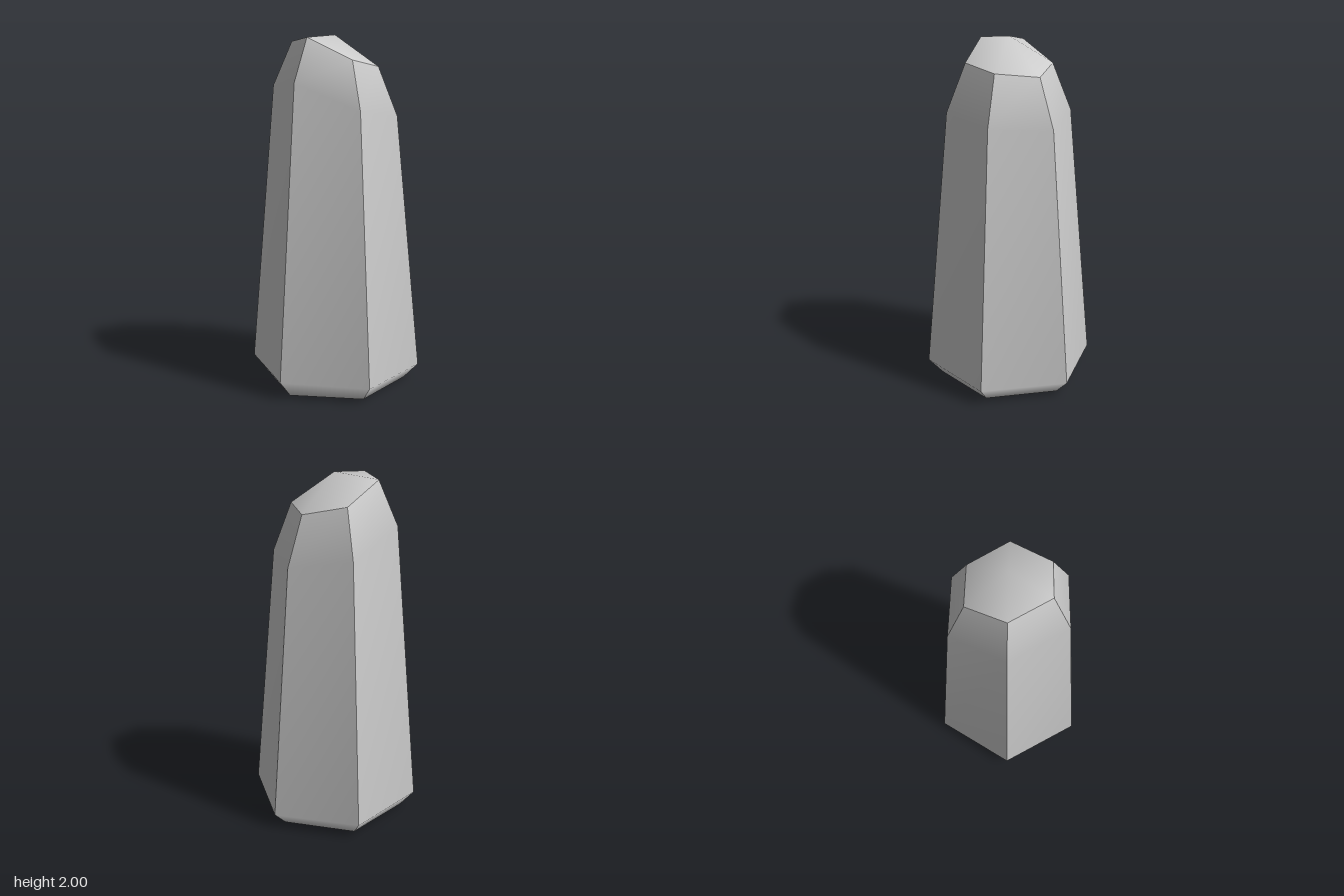
import * as THREE from 'three';

const SIDES = 6;

// Corner heights run round from +x through +z (right, front, left, back)
const RINGS = [
  { r: 0.415, y: [0, 0, 0, 0, 0, 0] },
  { r: 0.497, y: [0.085, 0.086, 0.09, 0.1, 0.097, 0.09] },
  { r: 0.355, y: [1.53, 1.55, 1.59, 1.74, 1.72, 1.585] },
  { r: 0.246, y: [1.8, 1.825, 1.86, 1.98, 1.965, 1.85] },
];

function corner(ring, i) {
  const k = i % SIDES;
  const a = (k / SIDES) * Math.PI * 2;
  return [ring.r * Math.cos(a), ring.y[k], ring.r * Math.sin(a)];
}

function makeMesh(name, points, index, material) {
  const geometry = new THREE.BufferGeometry();
  geometry.setAttribute('position', new THREE.Float32BufferAttribute(points.flat(), 3));
  geometry.setIndex(index);
  geometry.computeVertexNormals();
  const mesh = new THREE.Mesh(geometry, material);
  mesh.name = name;
  return mesh;
}

// Fan of triangles joining one ring to a centre point
function makeFan(name, ring, centre, facesUp, material) {
  const points = [centre];
  const index = [];
  for (let i = 0; i < SIDES; i++) {
    points.push(corner(ring, i));
    const a = i + 1;
    const b = ((i + 1) % SIDES) + 1;
    index.push(0, ...(facesUp ? [b, a] : [a, b]));
  }
  return makeMesh(name, points, index, material);
}

export function createModel() {
  const group = new THREE.Group();
  group.name = 'crystal';
  const material = new THREE.MeshStandardMaterial({ color: 0xcccccc });

  // Each facet is its own strip: smooth from base to top, sharp at the side edges
  for (let i = 0; i < SIDES; i++) {
    const points = RINGS.flatMap((ring) => [corner(ring, i), corner(ring, i + 1)]);
    const index = [];
    for (let j = 0; j < RINGS.length - 1; j++) {
      const n = j * 2;
      index.push(n, n + 2, n + 1, n + 1, n + 2, n + 3);
    }
    group.add(makeMesh(`facet${i + 1}`, points, index, material));
  }

  // Slanted pointed cap and flat underside
  group.add(makeFan('tip', RINGS[RINGS.length - 1], [0, 2, 0], true, material));
  group.add(makeFan('base', RINGS[0], [0, 0, 0], false, material));
  return group;
}
